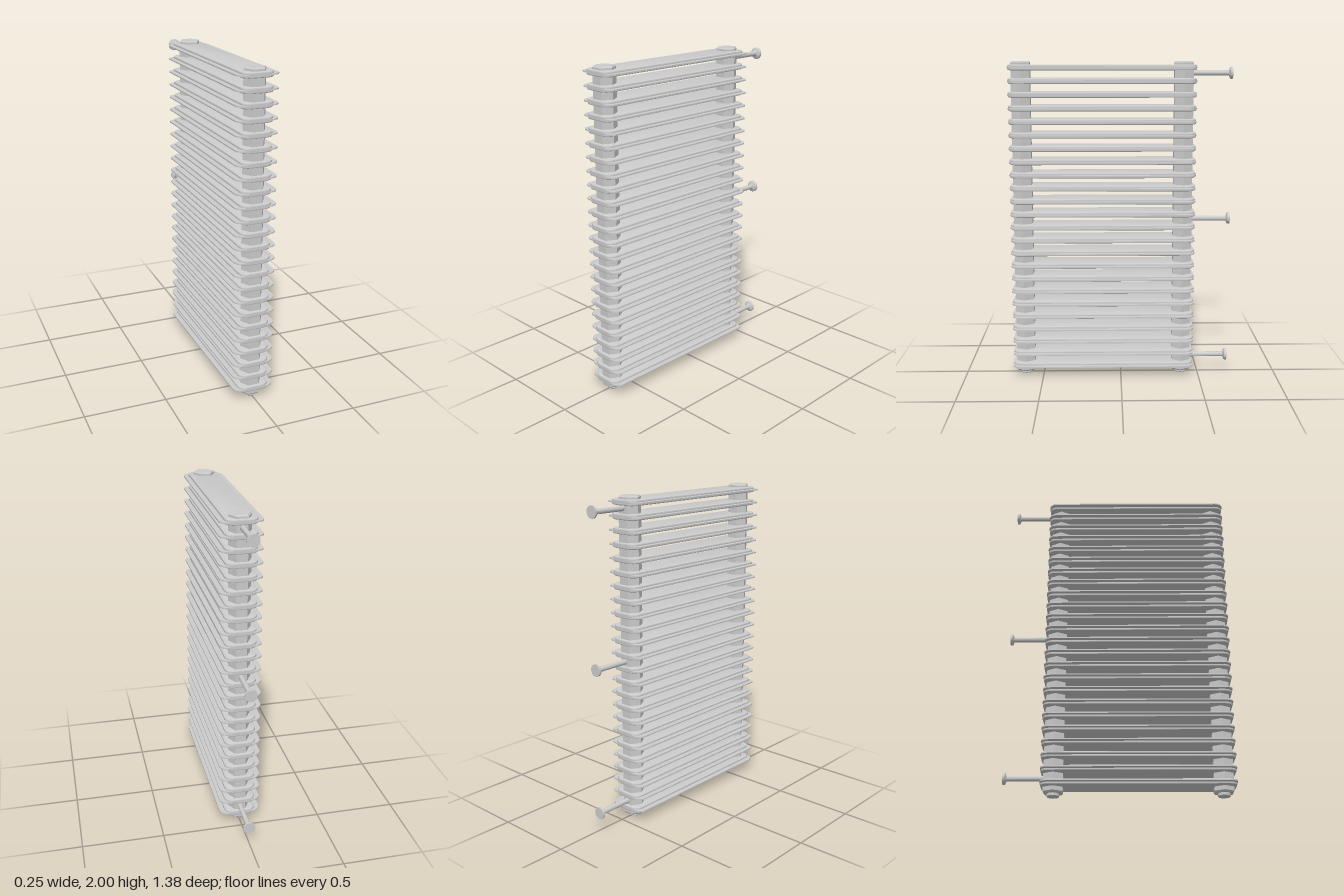
import * as THREE from 'three';
import { toCreasedNormals } from 'three/addons/utils/BufferGeometryUtils.js';

const FRONT = 0.69, BACK = -0.465;      // z extents of the fins
const COLUMN_Z = [0.615, -0.39];
const FIN_COUNT = 24, FIRST_FIN = 0.071, FIN_STEP = 0.0823;

// Horizontal rounded slab centred on y = 0, with optional chamfered rims
function slab(halfWidth, z0, z1, radius, height, bevel) {
  const w = halfWidth - bevel, a = -z1 + bevel, b = -z0 - bevel, r = radius - bevel;
  const s = new THREE.Shape();
  s.moveTo(-w + r, a);
  s.lineTo(w - r, a);
  s.absarc(w - r, a + r, r, -Math.PI / 2, 0);
  s.lineTo(w, b - r);
  s.absarc(w - r, b - r, r, 0, Math.PI / 2);
  s.lineTo(-w + r, b);
  s.absarc(-w + r, b - r, r, Math.PI / 2, Math.PI);
  s.lineTo(-w, a + r);
  s.absarc(-w + r, a + r, r, Math.PI, Math.PI * 1.5);
  const depth = height - 2 * bevel;
  const g = new THREE.ExtrudeGeometry(s, {
    depth, curveSegments: 6, bevelEnabled: bevel > 0,
    bevelThickness: bevel, bevelSize: bevel, bevelSegments: 2,
  });
  g.translate(0, 0, -depth / 2);
  g.rotateX(-Math.PI / 2);
  return toCreasedNormals(g, 0.6);
}

// Turned part from [radius, y] pairs listed bottom to top
function turned(points, sides, crease) {
  const g = new THREE.LatheGeometry(
    points.map(([r, y]) => new THREE.Vector2(r, y)), sides, Math.PI / 2);
  return toCreasedNormals(g, crease);
}

export function createModel() {
  const model = new THREE.Group();
  model.name = 'radiator';
  const material = new THREE.MeshStandardMaterial({ color: 0xcccccc });
  const add = (parent, geometry, name) => {
    const mesh = new THREE.Mesh(geometry, material);
    mesh.name = name;
    parent.add(mesh);
    return mesh;
  };

  // Stack of flat heating tubes, each with a thin flange around its middle
  const tubeGeo = slab(0.096, BACK, FRONT, 0.05, 0.034, 0.008);
  const flangeGeo = slab(0.127, BACK, FRONT, 0.05, 0.008, 0);
  for (let i = 0; i < FIN_COUNT; i++) {
    const fin = new THREE.Group();
    fin.name = 'fin';
    fin.position.y = FIRST_FIN + i * FIN_STEP;
    add(fin, tubeGeo, 'flatTube');
    add(fin, flangeGeo, 'flange');
    model.add(fin);
  }

  // Hexagonal columns with chamfered ends and a small plug underneath
  const columnGeo = turned([
    [0, 0.02], [0.058, 0.02], [0.067, 0.029],
    [0.067, 1.992], [0.06, 2], [0, 2],
  ], 6, 0.1);
  const plugGeo = turned([[0, 0], [0.034, 0], [0.038, 0.004], [0.038, 0.025]], 20, 0.6);
  COLUMN_Z.forEach((z, i) => {
    const end = i ? 'back' : 'front';
    add(model, columnGeo, end + 'Column').position.z = z;
    add(model, plugGeo, end + 'Plug').position.z = z;
  });

  // Wall brackets: rod with a flared round foot
  const bracketGeo = turned([
    [0, 0], [0.016, 0], [0.016, 0.275], [0.024, 0.281],
    [0.034, 0.284], [0.037, 0.288], [0.037, 0.3], [0, 0.3],
  ], 20, 0.6);
  bracketGeo.rotateX(-Math.PI / 2);
  for (const y of [0.112, 1.02, 1.93]) {
    add(model, bracketGeo, 'wallBracket').position.set(0, y, -0.39);
  }
  return model;
}
